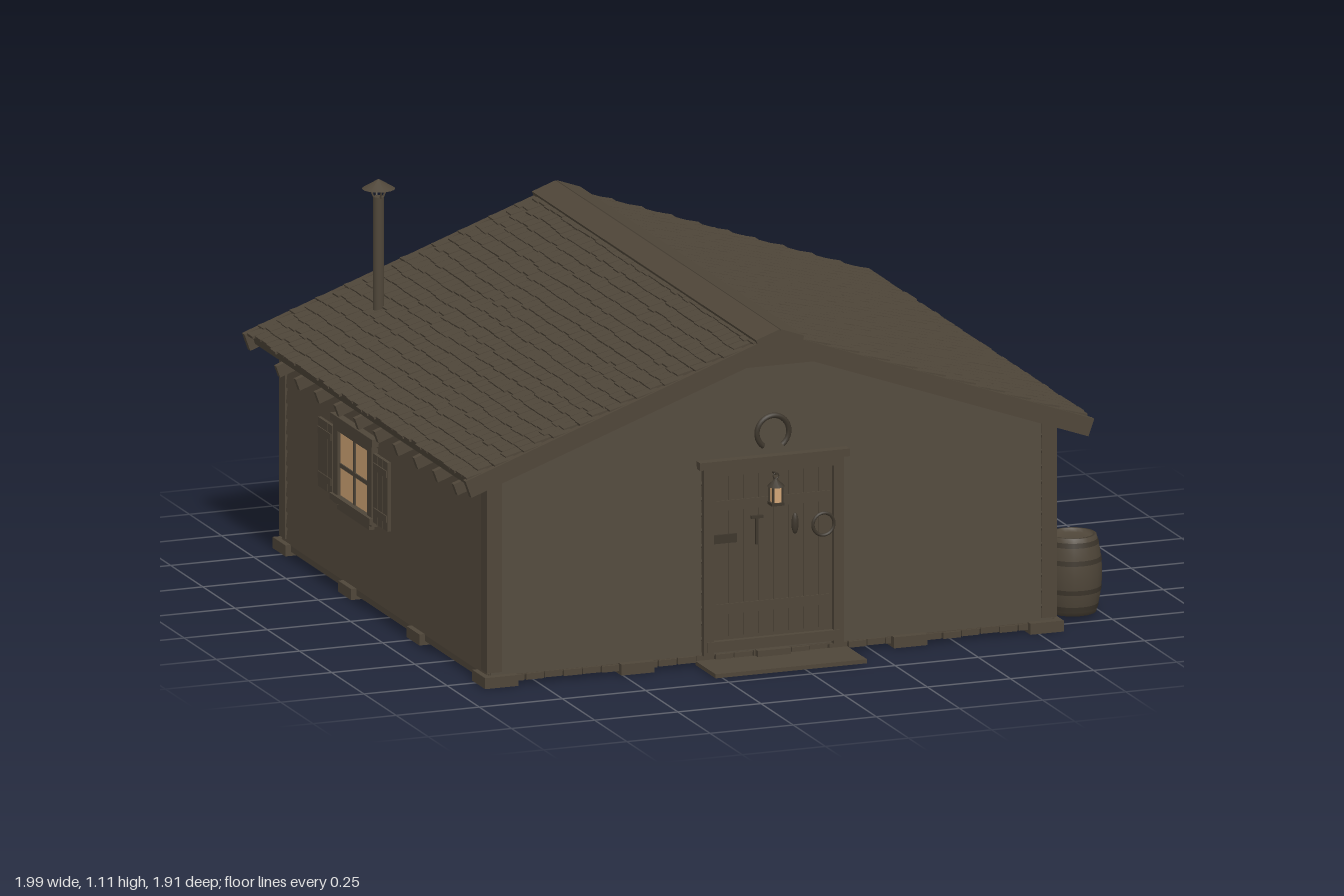
import * as THREE from 'three';
import { mergeGeometries } from 'three/addons/utils/BufferGeometryUtils.js';

const wood = new THREE.MeshStandardMaterial({ color: 0x4f4639 });
wood.name = 'weathered wood';
const iron = new THREE.MeshStandardMaterial({ color: 0x3d362c });
iron.name = 'dark iron';
const glow = new THREE.MeshStandardMaterial({ color: 0xd2a676 });
glow.name = 'lit glass';

let seed = 7;
const rand = () => (seed = (seed * 16807) % 2147483647) / 2147483647;
const jitter = (a) => (rand() - 0.5) * 2 * a;

function add(parent, name, geo, mat, x = 0, y = 0, z = 0) {
  const m = new THREE.Mesh(geo, mat);
  m.name = name;
  m.position.set(x, y, z);
  parent.add(m);
  return m;
}
const box = (parent, name, mat, w, h, d, x, y, z) =>
  add(parent, name, new THREE.BoxGeometry(w, h, d), mat, x, y, z);
function group(parent, name, x = 0, y = 0, z = 0) {
  const g = new THREE.Group();
  g.name = name;
  g.position.set(x, y, z);
  parent.add(g);
  return g;
}

const HW = 0.855, HD = 0.805;             // half width and half depth of the walls
const APEX = 0.962, A = 0.345;            // ridge height and roof pitch
const wallTop = (x) => APEX - 0.03 - Math.abs(x) * Math.tan(A);

// Solid core, lapped siding and corner trim
function walls(house) {
  const g = group(house, 'walls');
  const w = HW - 0.01, d = HD - 0.01;
  const s = new THREE.Shape([[-w, 0.03], [w, 0.03], [w, wallTop(w)], [0, wallTop(0)], [-w, wallTop(w)]]
    .map((p) => new THREE.Vector2(...p)));
  add(g, 'wallCore', new THREE.ExtrudeGeometry(s, { depth: 2 * d, bevelEnabled: false }), wood, 0, 0, -d);
  const pitch = 0.045, boards = [];
  for (let y = 0.055; y < 0.9; y += pitch) {
    const half = Math.min(w, (APEX - 0.03 - y) / Math.tan(A));
    for (const side of [0, 1, 2, 3]) {
      if (side % 2 && y > 0.62) continue;
      const b = new THREE.BoxGeometry(side % 2 ? 2 * d : 2 * half, pitch + 0.006, 0.006);
      b.rotateX(-0.12);
      b.translate(0, y, (side % 2 ? w : d) + 0.003);
      b.rotateY(side * Math.PI / 2);
      boards.push(b);
    }
  }
  add(g, 'siding', mergeGeometries(boards), wood);
  for (const sx of [-1, 1]) for (const sz of [-1, 1])
    box(g, 'cornerTrim', wood, 0.045, 0.57, 0.045, sx * (HW - 0.0205), 0.325, sz * (HD - 0.0205));
}

// Floor planks and foundation blocks
function base(house) {
  const g = group(house, 'foundation');
  const n = 30, w = 2 * HW / n;
  for (let i = 0; i < n; i++)
    box(g, 'floorPlank', wood, w - 0.004, 0.018, 2 * HD + jitter(0.008), -HW + w * (i + 0.5), 0.019 + jitter(0.002), 0);
  box(g, 'subfloor', wood, 2 * HW - 0.01, 0.012, 2 * HD - 0.01, 0, 0.03, 0);
  const block = (x, z) => box(g, 'foundationBlock', wood, 0.1, 0.032, 0.1, x, 0.016, z);
  for (const z of [-0.775, 0.775]) for (const x of [-0.82, -0.41, 0, 0.41, 0.82]) block(x, z);
  for (const x of [-0.82, 0.82]) for (const z of [-0.265, 0.265]) block(x, z);
}

// One roof slope: slab, shingles, bargeboards and rafter tails
function roofSide(house, turn) {
  const pivot = group(house, 'roofSlope', 0, APEX, 0);
  pivot.rotation.y = turn;
  const g = group(pivot, 'slope');
  g.rotation.z = -A;
  const L = 0.985;
  box(g, 'roofDeck', wood, L, 0.03, 1.72, L / 2, -0.026, 0);
  const rows = 21, cols = 38, w = 1.7 / cols, pitch = (L - 0.03) / rows, list = [];
  for (let i = 0; i < rows; i++) for (let j = 0; j < cols; j++) {
    const b = new THREE.BoxGeometry(0.064 + jitter(0.006), 0.008, w - 0.003 + jitter(0.002));
    b.rotateZ(0.1 + jitter(0.025));
    b.rotateY(jitter(0.03));
    b.translate(0.033 + pitch * (i + 0.5) + jitter(0.004), -0.004,
      -0.85 + w * (j + 0.5) + (i % 2 ? w / 4 : -w / 4));
    list.push(b);
  }
  add(g, 'shingles', mergeGeometries(list), wood);
  for (const s of [-1, 1]) box(g, 'bargeboard', wood, L + 0.02, 0.052, 0.02, L / 2 + 0.01, -0.028, s * 0.858);
  box(g, 'ridgeBoard', wood, 0.075, 0.012, 1.74, 0.036, 0.004, 0);
  for (let i = 0; i < 10; i++) box(g, 'rafterTail', wood, 0.19, 0.035, 0.018, 0.915, -0.058, -0.745 + i * 0.153);
}

// Shutter made of planks and two battens
function shutter(parent, x, tilt) {
  const g = group(parent, 'shutter', x, 0.367, 0.008);
  g.rotation.z = tilt;
  for (const i of [-1, 0, 1]) box(g, 'shutterPlank', wood, 0.035, 0.2, 0.01, i * 0.038, 0, 0);
  for (const y of [-0.065, 0.065]) box(g, 'shutterBatten', wood, 0.1, 0.02, 0.014, 0, y, 0.001);
}

function windowUnit(house, side, tilt) {
  const g = group(house, 'window', side * HW, 0, -0.208);
  g.rotation.y = side * Math.PI / 2;
  box(g, 'glass', glow, 0.226, 0.19, 0.008, 0, 0.37, 0.001);
  for (const s of [-1, 1]) box(g, 'windowJamb', wood, 0.036, 0.24, 0.02, s * 0.131, 0.37, 0.004);
  box(g, 'windowHead', wood, 0.3, 0.022, 0.02, 0, 0.475, 0.004);
  box(g, 'windowLintel', wood, 0.325, 0.022, 0.028, 0, 0.496, 0.004);
  box(g, 'windowSill', wood, 0.31, 0.018, 0.034, 0, 0.268, 0.006);
  box(g, 'sillApron', wood, 0.25, 0.025, 0.016, 0, 0.248, 0.004);
  box(g, 'mullion', wood, 0.012, 0.19, 0.012, 0, 0.37, 0.003);
  box(g, 'glazingBar', wood, 0.226, 0.012, 0.012, 0, 0.365, 0.003);
  shutter(g, 0.215, 0);
  shutter(g, tilt ? -0.222 : -0.215, tilt);
}

// Plank door with frame, step and ironwork
function door(house) {
  const g = group(house, 'door', 0, 0, HD);
  const n = 8, w = 0.36 / n;
  box(g, 'doorBack', wood, 0.36, 0.53, 0.008, 0, 0.3, 0);
  for (let i = 0; i < n; i++) box(g, 'doorPlank', wood, w - 0.004, 0.47, 0.008, -0.18 + w * (i + 0.5), 0.315, 0.004);
  for (const y of [0.16, 0.46]) box(g, 'doorBatten', wood, 0.34, 0.03, 0.008, 0, y, 0.007);
  for (const s of [-1, 1]) box(g, 'doorJamb', wood, 0.03, 0.54, 0.026, s * 0.195, 0.3, 0.004);
  box(g, 'doorHead', wood, 0.42, 0.025, 0.026, 0, 0.56, 0.004);
  box(g, 'doorLintel', wood, 0.45, 0.022, 0.036, 0, 0.583, 0.006);
  box(g, 'threshold', wood, 0.4, 0.03, 0.03, 0, 0.055, 0.005);
  box(g, 'doorstep', wood, 0.455, 0.012, 0.155, 0, 0.008, 0.073);
  box(g, 'latch', iron, 0.07, 0.025, 0.008, -0.145, 0.365, 0.011);
  box(g, 'hookBar', iron, 0.035, 0.008, 0.012, -0.05, 0.42, 0.012);
  box(g, 'hookStem', iron, 0.008, 0.08, 0.01, -0.05, 0.38, 0.012);
  const handle = add(g, 'handle', new THREE.SphereGeometry(0.012, 10, 8), iron, 0.065, 0.39, 0.012);
  handle.scale.set(0.9, 2.6, 0.7);
  add(g, 'ringPull', new THREE.TorusGeometry(0.032, 0.005, 6, 24), iron, 0.15, 0.38, 0.014);
  const shoe = add(g, 'horseshoe', new THREE.TorusGeometry(0.048, 0.008, 6, 24, Math.PI * 1.6), iron, 0, 0.66, 0.008);
  shoe.rotation.z = -Math.PI * 0.3;
  // Lantern
  const l = group(g, 'lantern', 0, 0.485, 0.032);
  box(l, 'lanternGlass', glow, 0.026, 0.045, 0.026, 0, 0, 0);
  box(l, 'lanternBase', iron, 0.038, 0.008, 0.036, 0, -0.026, 0);
  for (const x of [-1, 1]) for (const z of [-1, 1])
    box(l, 'lanternPost', iron, 0.005, 0.05, 0.005, x * 0.014, 0, z * 0.014);
  add(l, 'lanternCap', new THREE.ConeGeometry(0.026, 0.025, 8), iron, 0, 0.036, 0);
  add(l, 'lanternRing', new THREE.TorusGeometry(0.008, 0.002, 6, 12), iron, 0, 0.054, 0);
  box(l, 'lanternArm', iron, 0.006, 0.006, 0.035, 0, 0.06, -0.015);
}

function stovePipe(root) {
  const g = group(root, 'stovePipe', -0.685, 0, -0.595);
  add(g, 'pipe', new THREE.CylinderGeometry(0.016, 0.016, 0.38, 14), wood, 0, 0.865, 0);
  add(g, 'pipeCap', new THREE.ConeGeometry(0.047, 0.028, 14), wood, 0, 1.092, 0);
  for (let i = 0; i < 4; i++) {
    const a = i * Math.PI / 2;
    const s = box(g, 'capStrut', wood, 0.004, 0.036, 0.004, Math.cos(a) * 0.02, 1.067, Math.sin(a) * 0.02);
    s.rotation.set(Math.sin(a) * 0.4, 0, -Math.cos(a) * 0.4);
  }
}

function barrel(root) {
  const g = group(root, 'barrel', 0.917, 0.01, 0.655);
  const r = (y) => 0.083 - 0.016 * ((y - 0.112) / 0.112) ** 2;
  const pts = [[0, 0]];
  for (let i = 0; i <= 8; i++) pts.push([r(i * 0.028), i * 0.028]);
  pts.push([0.058, 0.224], [0.058, 0.212], [0, 0.212]);
  add(g, 'staves', new THREE.LatheGeometry(pts.map((p) => new THREE.Vector2(...p)), 20), wood);
  for (const y of [0.02, 0.07, 0.155, 0.205])
    add(g, 'hoop', new THREE.CylinderGeometry(r(y + 0.007) + 0.001, r(y - 0.007) + 0.001, 0.014, 20, 1, true), iron, 0, y, 0);
}

// Stacked firewood, one log fewer on each row
function firewood(root) {
  const g = group(root, 'firewood', -0.207, 0, -0.883);
  const r = 0.0235;
  for (let row = 0; row < 5; row++) for (let i = 0; i < 11 - row; i++) {
    const log = add(g, 'log', new THREE.CylinderGeometry(r, r, 0.138 + jitter(0.004), 9), wood,
      (i - (10 - row) / 2) * 0.0495, 0.028 + row * 0.041, 0);
    log.rotation.set(Math.PI / 2, rand() * 3, 0);
  }
}

export function createModel() {
  const root = new THREE.Group();
  root.name = 'cabin';
  const house = group(root, 'house', -0.045, 0, 0);
  base(house);
  walls(house);
  roofSide(house, 0);
  roofSide(house, Math.PI);
  // Small collar boards under the gable peaks
  const peak = new THREE.Shape([[-0.12, 0.868], [0.12, 0.868], [0, 0.912]].map((p) => new THREE.Vector2(...p)));
  for (const z of [0.848, -0.866])
    add(house, 'gableCollar', new THREE.ExtrudeGeometry(peak, { depth: 0.018, bevelEnabled: false }), wood, 0, 0, z);
  windowUnit(house, 1, 0.11);
  windowUnit(house, -1, 0);
  door(house);
  stovePipe(root);
  barrel(root);
  firewood(root);
  return root;
}
